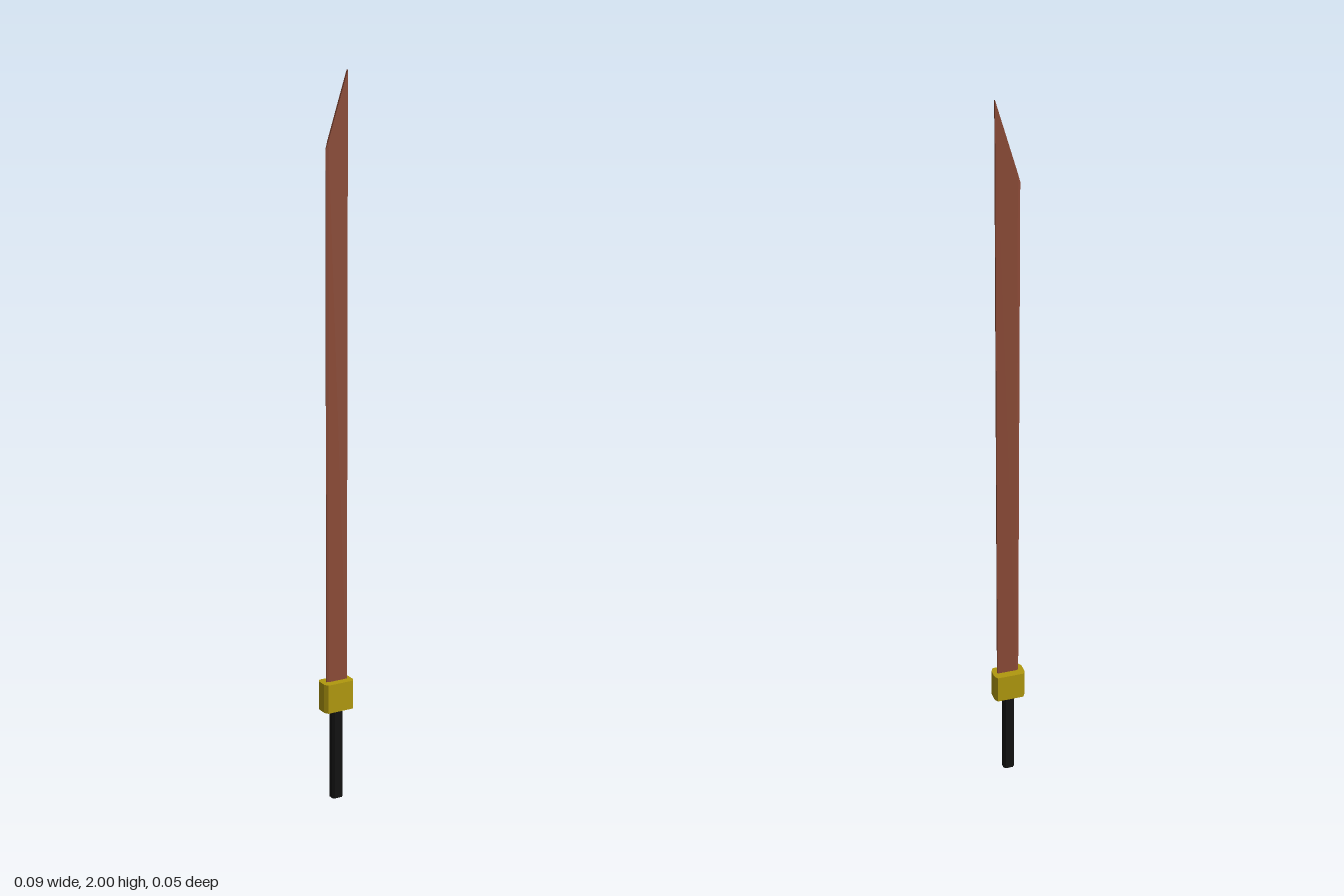
import * as THREE from 'three';

// Upright prism over an (x, z) outline, from y0 to y1
function prism(name, outline, y0, y1, color) {
  const shape = new THREE.Shape(outline.map(([x, z]) => new THREE.Vector2(x, -z)));
  const geometry = new THREE.ExtrudeGeometry(shape, { depth: y1 - y0, bevelEnabled: false });
  geometry.rotateX(-Math.PI / 2).translate(0, y0, 0);
  const mesh = new THREE.Mesh(geometry, new THREE.MeshStandardMaterial({ color, flatShading: true }));
  mesh.name = name;
  return mesh;
}

// Rectangle with cut corners
function cutRect(hx, hz, cx, cz) {
  return [
    [hx, hz - cz], [hx, cz - hz], [hx - cx, -hz], [cx - hx, -hz],
    [-hx, cz - hz], [-hx, hz - cz], [cx - hx, hz], [hx - cx, hz],
  ];
}

export function createModel() {
  const group = new THREE.Group();
  group.name = 'sword';

  group.add(prism('handle', cutRect(0.017, 0.0135, 0.006, 0.006), 0, 0.267, 0x111111));
  group.add(prism('guard', cutRect(0.046, 0.0265, 0.007, 0.012), 0.267, 0.35, 0xb0980e));

  // Blade: thick spine at +x, bevelled cutting edge at -x
  const t = 0.0036, spine = 0.033, edge = -0.031;
  const blade = prism('blade',
    [[spine, t], [spine, -t], [edge + 0.007, -t], [edge, -0.001], [edge, 0.001], [edge + 0.007, t]],
    0.34, 2, 0x8b4a36);

  // Slant the tip down toward the cutting edge
  const p = blade.geometry.attributes.position;
  for (let i = 0; i < p.count; i++) {
    if (p.getY(i) > 1) p.setY(i, 2 - 0.2 * (spine - p.getX(i)) / (spine - edge));
  }
  blade.geometry.computeVertexNormals();
  group.add(blade);

  return group;
}
